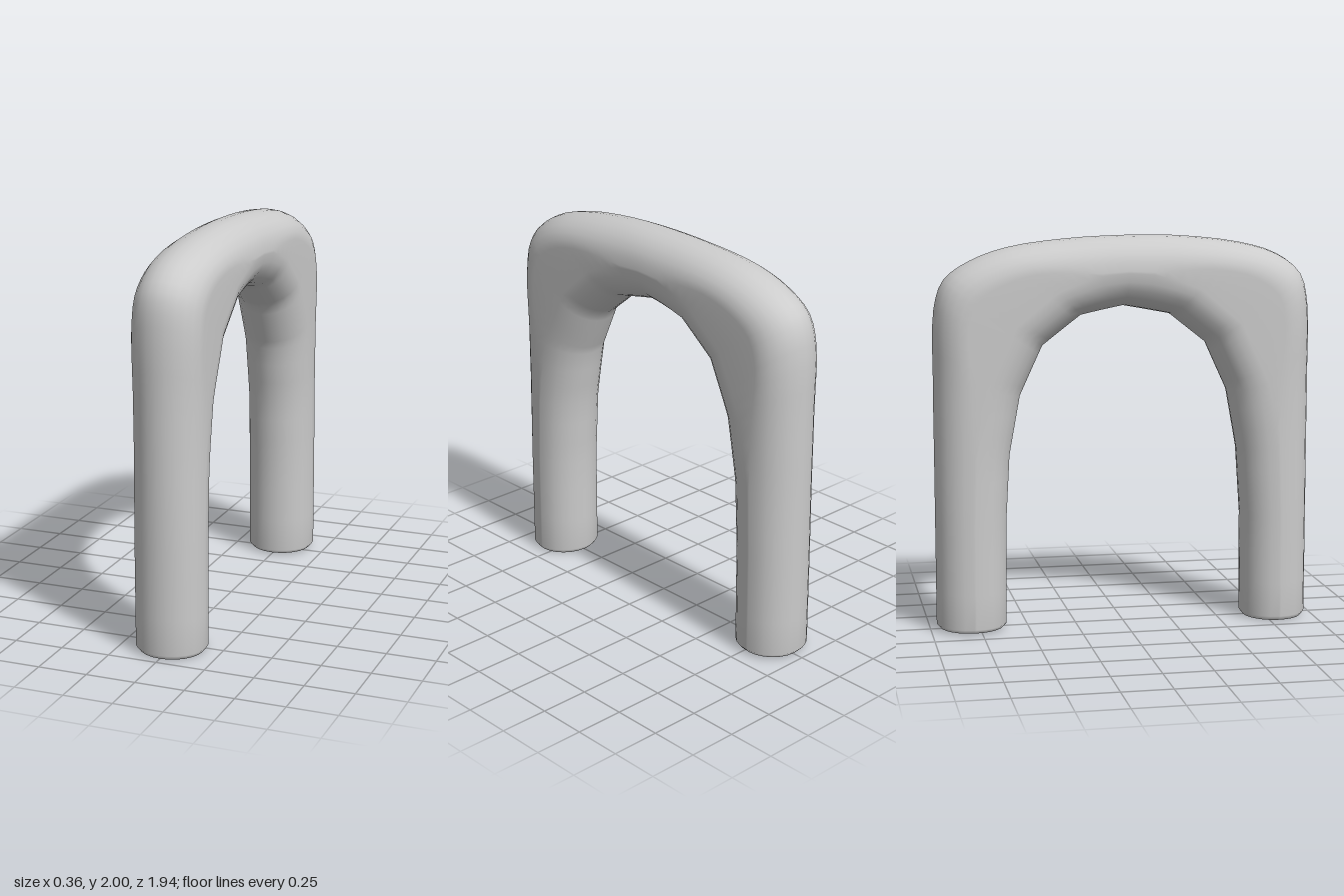
import * as THREE from 'three';

const HALF_WIDTH = 0.178;
const ARC = 12; // segments in each rounded half of the section

// Stations along the arch: outer z, outer y, inner z, inner y
const frontSide = [
  [0.97, 0.025, 0.628, 0.025], [0.97, 0.55, 0.625, 0.55], [0.97, 0.9, 0.6, 0.9],
  [0.97, 1.3, 0.545, 1.2], [0.965, 1.64, 0.487, 1.325], [0.925, 1.8, 0.43, 1.45],
  [0.8, 1.9, 0.335, 1.525], [0.6, 1.96, 0.24, 1.6], [0.27, 1.997, 0.12, 1.623],
  [0, 2, 0, 1.645],
];
const backSide = [
  [-0.3, 1.985, -0.11, 1.623], [-0.59, 1.945, -0.22, 1.6], [-0.78, 1.878, -0.318, 1.525],
  [-0.91, 1.785, -0.415, 1.45], [-0.96, 1.64, -0.473, 1.325], [-0.968, 1.3, -0.53, 1.2],
  [-0.968, 0.9, -0.585, 0.9], [-0.968, 0.55, -0.605, 0.55], [-0.968, 0.03, -0.608, 0.03],
];

// Rounded oval section between an outer and an inner point
function section(outer, inner, inset = 0) {
  const centre = outer.clone().add(inner).multiplyScalar(0.5);
  const axis = outer.clone().sub(inner);
  const half = axis.length() / 2 - inset;
  axis.normalize();
  const cap = Math.min(0.185, half * 0.97);
  const ring = [];
  for (const side of [1, -1]) {
    for (let i = 0; i <= ARC; i++) {
      const a = -Math.PI / 2 + (Math.PI * i) / ARC;
      const p = centre.clone().addScaledVector(axis, side * (Math.cos(a) * cap + half - cap));
      p.x = side * Math.sin(a) * (HALF_WIDTH - inset);
      ring.push(p);
    }
  }
  return ring;
}

// Rings for the whole sweep: smooth outer curve, straight-segmented inner edge
function archRings() {
  const stations = [...frontSide, ...backSide];
  const outers = stations.map(s => new THREE.Vector3(0, s[1], s[0]));
  const inners = stations.map(s => new THREE.Vector3(0, s[3], s[2]));
  const curve = new THREE.CatmullRomCurve3(outers, false, 'centripetal');
  const steps = 3, last = stations.length - 1, rings = [];
  for (let i = 0; i <= last * steps; i++) {
    const k = Math.min(Math.floor(i / steps), last - 1);
    const inner = inners[k].clone().lerp(inners[k + 1], i / steps - k);
    rings.push(section(curve.getPoint(i / (last * steps)), inner));
  }
  // Slightly bevelled feet
  const foot = (n, y) => {
    const o = outers[n].clone().setY(y), i = inners[n].clone().setY(y);
    return section(o, i, 0.018);
  };
  rings.unshift(foot(0, 0.002));
  rings.push(foot(last, 0.01));
  return rings;
}

function meshFrom(points, index, name) {
  const geometry = new THREE.BufferGeometry().setFromPoints(points);
  geometry.setIndex(index);
  geometry.computeVertexNormals();
  const mesh = new THREE.Mesh(geometry, new THREE.MeshStandardMaterial({ color: 0xcccccc }));
  mesh.name = name;
  return mesh;
}

// Flat sole closing one leg
function sole(ring, flip, name) {
  const centre = ring.reduce((s, p) => s.add(p), new THREE.Vector3()).divideScalar(ring.length);
  const index = [];
  ring.forEach((_, k) => {
    const next = (k + 1) % ring.length;
    index.push(ring.length, flip ? next : k, flip ? k : next);
  });
  return meshFrom([...ring, centre], index, name);
}

export function createModel() {
  const model = new THREE.Group();
  model.name = 'archHandle';
  const rings = archRings();
  const n = rings[0].length;

  // Legs and crossbar as one continuous skin
  const index = [];
  for (let j = 0; j < rings.length - 1; j++) {
    for (let k = 0; k < n; k++) {
      const a = j * n + k, b = j * n + ((k + 1) % n);
      index.push(a, b, b + n, a, b + n, a + n);
    }
  }
  model.add(meshFrom(rings.flat(), index, 'arch'));
  model.add(sole(rings[0], true, 'frontFoot'));
  model.add(sole(rings[rings.length - 1], false, 'backFoot'));
  return model;
}
